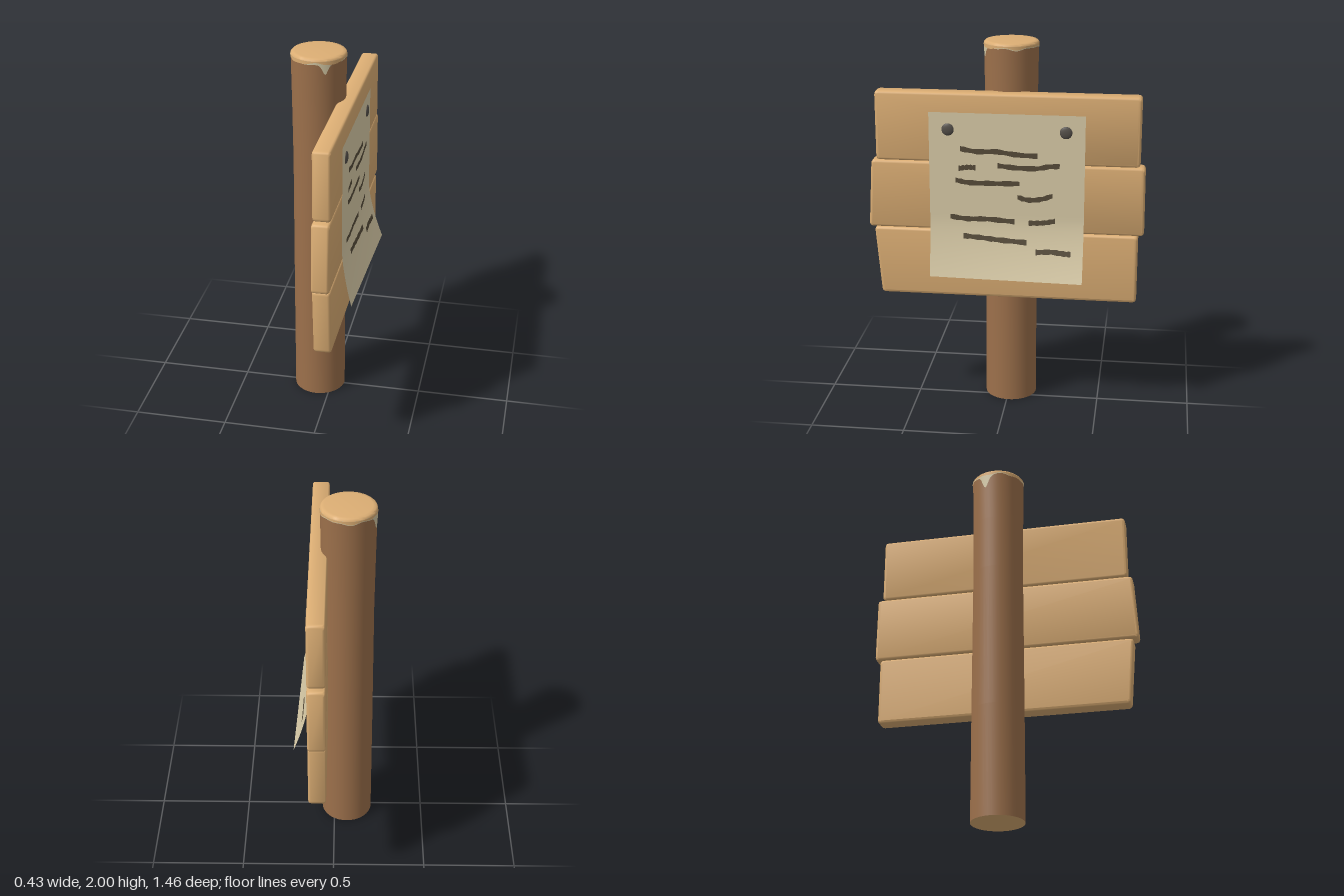
import * as THREE from 'three';
import { toCreasedNormals } from 'three/addons/utils/BufferGeometryUtils.js';

const material = (name, color, side = THREE.FrontSide) => {
  const m = new THREE.MeshStandardMaterial({ color, side });
  m.name = name;
  return m;
};

export function createModel() {
  const model = new THREE.Group();
  model.name = 'noticeBoard';
  const bark = material('bark brown', 0x9c704b);
  const wood = material('light wood', 0xdcae74);
  const sap = material('pale inner bark', 0xd2c6a2);
  const paperMat = material('paper', 0xdacca8, THREE.DoubleSide);
  const ink = material('ink', 0x574c3a, THREE.DoubleSide);
  const iron = material('dark iron', 0x55504a);

  const add = (name, geometry, mat, parent = model) => {
    const mesh = new THREE.Mesh(geometry, mat);
    mesh.name = name;
    parent.add(mesh);
    return mesh;
  };

  // Post: slightly uneven trunk with pale cut ends
  const post = new THREE.Group();
  post.name = 'post';
  post.position.set(-0.07, 0, -0.01);
  model.add(post);
  const lathe = (pts) => toCreasedNormals(
    new THREE.LatheGeometry(pts.map(([r, y]) => new THREE.Vector2(r, y)), 40), 0.7);
  add('trunk', lathe([[0.14, 0], [0.139, 0.6], [0.136, 1.4], [0.139, 1.7], [0.143, 1.985]]), bark, post);
  add('topCut', lathe([[0.1445, 1.982], [0.143, 1.991], [0.136, 1.998], [0.12, 2], [0, 2]]), wood, post);
  add('bottomCut', new THREE.CircleGeometry(0.14, 40).rotateX(Math.PI / 2), wood, post);

  // Peeled bands round the top, with drips at given angles
  const peel = (name, radius, base, drips, mat) => {
    const g = new THREE.CylinderGeometry(radius, radius, 1, 120, 1, true);
    const p = g.attributes.position;
    for (let i = 0; i < p.count; i++) {
      if (p.getY(i) > 0) { p.setY(i, 1.987); continue; }
      const a = Math.atan2(p.getZ(i), p.getX(i));
      let y = base + 0.004 * Math.sin(5 * a) + 0.003 * Math.sin(9 * a + 1);
      for (const [angle, width, depth] of drips) {
        const d = Math.atan2(Math.sin(a - angle), Math.cos(a - angle)) / width;
        y -= depth * Math.exp(-d * d);
      }
      p.setY(i, y);
    }
    add(name, g, mat, post);
  };
  peel('innerBarkBand', 0.1445, 1.971,
    [[1.15, 0.12, 0.045], [3.46, 0.17, 0.075], [1.4, 0.3, 0.008]], sap);
  peel('cutWoodBand', 0.1455, 1.975, [[0.75, 0.2, 0.008], [2.2, 0.4, 0.005]], wood);

  // Planks: rounded, slightly crooked boards; outline is (u, y) with u = -z
  const plank = (name, corners) => {
    const v = corners.map(([u, y]) => new THREE.Vector2(u, y));
    const shape = new THREE.Shape();
    v.forEach((c, i) => {
      const towards = (o) => c.clone().add(o.clone().sub(c).setLength(0.022));
      const a = towards(v[(i + 3) % 4]), b = towards(v[(i + 1) % 4]);
      if (i) shape.lineTo(a.x, a.y); else shape.moveTo(a.x, a.y);
      shape.quadraticCurveTo(c.x, c.y, b.x, b.y);
    });
    shape.closePath();
    const bevel = 0.014;
    const g = new THREE.ExtrudeGeometry(shape, {
      depth: 0.092 - 2 * bevel, bevelSize: bevel, bevelThickness: bevel,
      bevelOffset: -bevel, bevelSegments: 3, curveSegments: 4,
    });
    g.rotateY(Math.PI / 2).translate(0.035 + bevel, 0, 0);
    add(name, toCreasedNormals(g, 0.8), wood);
  };
  plank('topPlank', [[-0.685, 1.383], [0.7, 1.383], [0.7, 1.752], [-0.685, 1.752]]);
  plank('middlePlank', [[-0.733, 1.012], [0.73, 1.012], [0.727, 1.382], [-0.712, 1.382]]);
  plank('bottomPlank', [[-0.674, 0.636], [0.7, 0.636], [0.7, 1.009], [-0.705, 1.009]]);

  // Paper sheet whose lower edge curls outwards, more at one corner
  const paperX = (u, y) => {
    const s = Math.max(0, (1.08 - y) / 0.32);
    const reach = 0.05 + 0.03 * (u + 0.4) / 0.815;
    return 0.13 + reach * Math.pow(s, 1.5);
  };
  const sheet = new THREE.PlaneGeometry(0.815, 0.89, 8, 30);
  sheet.translate(0.0075, 1.205, 0);
  const sp = sheet.attributes.position;
  for (let i = 0; i < sp.count; i++) {
    const u = sp.getX(i), y = sp.getY(i);
    sp.setXYZ(i, paperX(u, y), y, -u);
  }
  sheet.computeVertexNormals();
  add('paper', sheet, paperMat);

  // Ink squiggles: ribbons following the paper surface
  const strokes = [
    [[-0.235, 1.46], [-0.15, 1.447], [-0.05, 1.45], [0.05, 1.437], [0.17, 1.432]],
    [[-0.245, 1.353], [-0.2, 1.36], [-0.155, 1.36]],
    [[-0.04, 1.375], [0.04, 1.367], [0.16, 1.365], [0.23, 1.378], [0.285, 1.382]],
    [[-0.262, 1.29], [-0.2, 1.278], [-0.08, 1.277], [0.075, 1.28]],
    [[0.065, 1.207], [0.12, 1.193], [0.19, 1.2], [0.25, 1.22]],
    [[-0.292, 1.088], [-0.2, 1.078], [-0.1, 1.08], [0.05, 1.07]],
    [[0.125, 1.066], [0.2, 1.07], [0.265, 1.082]],
    [[-0.22, 0.985], [-0.12, 0.978], [-0.03, 0.97], [0.115, 0.962]],
    [[0.165, 0.913], [0.25, 0.918], [0.31, 0.912], [0.35, 0.91]],
  ];
  strokes.forEach((pts, n) => {
    const curve = new THREE.CatmullRomCurve3(pts.map(([u, y]) => new THREE.Vector3(u, y, 0)));
    const pos = [], idx = [], steps = 16;
    for (let i = 0; i <= steps; i++) {
      const p = curve.getPoint(i / steps);
      const half = 0.0135 + 0.002 * Math.sin(i * 1.7 + n);
      for (const y of [p.y - half, p.y + half]) pos.push(paperX(p.x, y) + 0.004, y, -p.x);
      if (i < steps) {
        const a = 2 * i;
        idx.push(a, a + 2, a + 1, a + 1, a + 2, a + 3);
      }
    }
    const g = new THREE.BufferGeometry();
    g.setAttribute('position', new THREE.Float32BufferAttribute(pos, 3));
    g.setIndex(idx);
    g.computeVertexNormals();
    add('inkStroke' + (n + 1), g, ink);
  });

  // Nails: flattened domes at the top corners of the paper
  for (const [i, z] of [0.3, -0.315].entries()) {
    const nail = add('nail' + (i + 1), new THREE.SphereGeometry(0.033, 20, 14), iron);
    nail.scale.x = 0.35;
    nail.position.set(0.129, 1.56, z);
  }

  return model;
}
